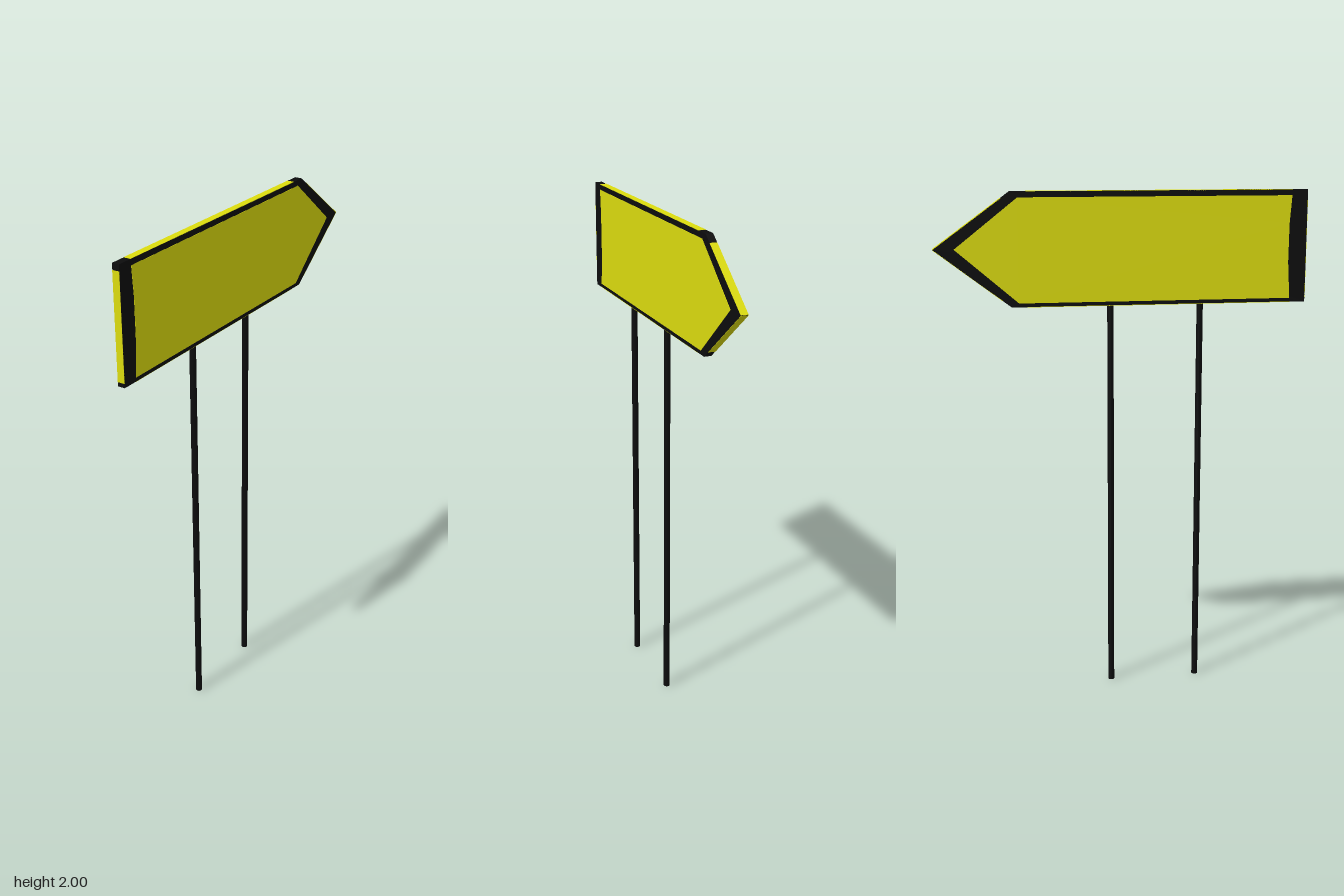
import * as THREE from 'three';

export function createModel() {
  const black = new THREE.MeshStandardMaterial({ color: 0x0c0c0d });
  black.name = 'black';
  const yellow = new THREE.MeshStandardMaterial({ color: 0xdcdc0e });
  yellow.name = 'yellow';

  const group = new THREE.Group();
  group.name = 'arrowSign';
  const add = (name, geometry, material) => {
    const mesh = new THREE.Mesh(geometry, material);
    mesh.name = name;
    group.add(mesh);
    return mesh;
  };

  // Outlines are given as [z, y]; the slab is extruded along x, centred on x
  const slab = (points, thickness, x = 0) => {
    const shape = new THREE.Shape(points.map(([z, y]) => new THREE.Vector2(-z, y)));
    return new THREE.ExtrudeGeometry(shape, { depth: thickness, bevelEnabled: false })
      .translate(0, 0, x - thickness / 2)
      .rotateY(Math.PI / 2);
  };

  // Arrow-shaped board
  const half = 0.014;
  const outline = [[0.726, 1.564], [-0.43, 1.564], [-0.724, 1.786], [-0.43, 1.999], [0.726, 1.999]];
  add('board', slab(outline, half * 2), black);

  // Yellow panel on each side, with a slightly bowed tail edge
  const panel = [[0.664, 1.579], [-0.402, 1.579], [-0.644, 1.786], [-0.402, 1.977],
    [0.664, 1.977], [0.656, 1.87], [0.655, 1.72]];
  for (const side of [-1, 1]) {
    add(side < 0 ? 'rightPanel' : 'leftPanel', slab(panel, 0.002, side * half), yellow);
  }

  // Yellow strips along the rim, each between two [z, y] points
  const strips = {
    topStrip: [[0.665, 1.999], [-0.37, 1.999]],
    bottomStrip: [[0.665, 1.564], [-0.37, 1.564]],
    upperTipStrip: [[-0.465, 1.9736], [-0.723, 1.7867]],
    lowerTipStrip: [[-0.465, 1.5904], [-0.723, 1.7852]],
    tailStrip: [[0.726, 1.58], [0.726, 1.975]],
  };
  for (const [name, [a, b]] of Object.entries(strips)) {
    const dz = b[0] - a[0], dy = b[1] - a[1];
    const strip = add(name, new THREE.BoxGeometry(half * 2, 0.002, Math.hypot(dz, dy)), yellow);
    strip.position.set(0, (a[1] + b[1]) / 2, (a[0] + b[0]) / 2);
    strip.rotation.x = Math.atan2(-dy, dz);
  }

  // Two slim posts
  for (const [name, z] of [['frontPost', 0.306], ['backPost', -0.048]]) {
    add(name, new THREE.CylinderGeometry(0.0125, 0.0125, 1.57, 16), black).position.set(0, 0.785, z);
  }

  return group;
}
